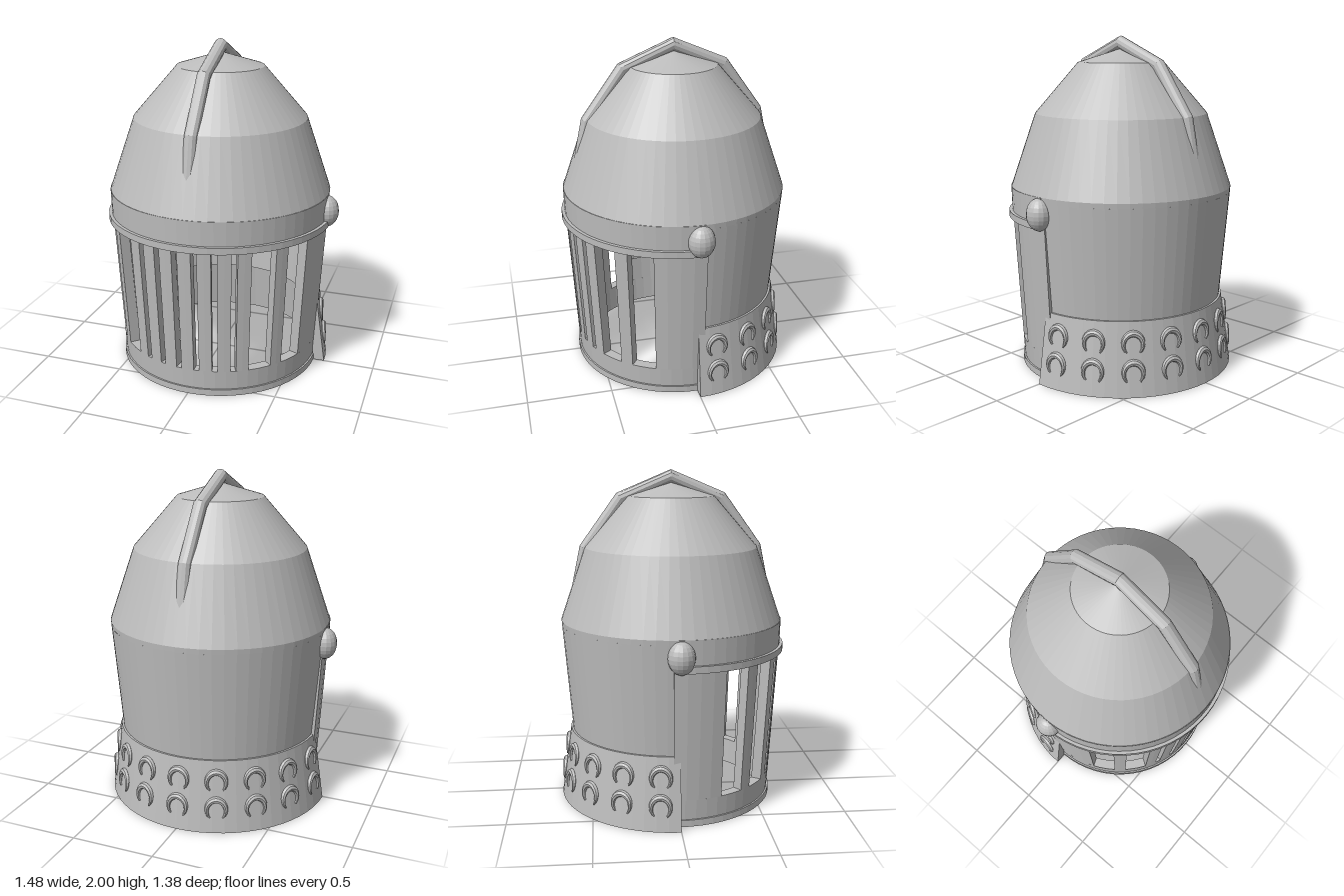
import * as THREE from 'three';
import { mergeGeometries } from 'three/addons/utils/BufferGeometryUtils.js';

const steel = new THREE.MeshStandardMaterial({ color: 0xbcbcbc, flatShading: true });
steel.name = 'steel';
const rad = THREE.MathUtils.degToRad;

function flat(geometry) {
  const g = geometry.index ? geometry.toNonIndexed() : geometry;
  g.computeVertexNormals();
  return g;
}

// Solid wall: closed [radius, y] profile (counter-clockwise) swept from a to b degrees; 0 is the front
function wall(profile, a, b) {
  const pts = profile.map(p => new THREE.Vector2(...p));
  const segments = Math.max(2, Math.round((b - a) / 6));
  const parts = [new THREE.LatheGeometry([...pts, pts[0]], segments, rad(a), rad(b - a))];
  if (b - a < 360) {
    for (const angle of [a, b]) {
      const cap = new THREE.ShapeGeometry(new THREE.Shape(pts)).rotateY(rad(angle - 90));
      if (angle === b) cap.setIndex([...cap.index.array].reverse());
      parts.push(cap);
    }
  }
  return flat(mergeGeometries(parts));
}

// Four-cornered profile from bottom and top radii
const slab = (y0, r0, y1, r1, t) => [[r0, y0], [r1, y1], [r1 - t, y1], [r0 - t, y0]];

// Horseshoe ornament: a torus arc open below, thinning to its ends
function horseshoeGeometry() {
  const R = 0.056, arc = rad(275);
  const g = new THREE.TorusGeometry(R, 0.018, 8, 18, arc);
  const p = g.attributes.position;
  for (let i = 0; i < p.count; i++) {
    const t = (i % 19) / 18, u = t * arc;
    const k = 0.3 + 0.7 * Math.sin(Math.PI * t);
    const cx = R * Math.cos(u), cy = R * Math.sin(u);
    p.setXYZ(i, cx + (p.getX(i) - cx) * k, cy + (p.getY(i) - cy) * k, p.getZ(i) * k);
  }
  g.rotateZ(rad(-47.5)).scale(1, 1.12, 1.2);
  return flat(g);
}

// Crest: a round section carried along a path over the dome, its ends sunk into the skull
function crestGeometry() {
  const half = [[0.3, 1.832], [0.513, 1.535], [0.562, 1.3]];
  const path = [...half.map(([z, y]) => [-z, y]).reverse(), [0, 1.96], ...half];
  const n = 12, pos = [], idx = [];
  path.forEach(([z, y], i) => {
    const a = path[Math.max(0, i - 1)], b = path[Math.min(path.length - 1, i + 1)];
    const d = new THREE.Vector2(b[0] - a[0], b[1] - a[1]).normalize();
    for (let j = 0; j < n; j++) {
      const u = j / n * Math.PI * 2;
      const h = 0.04 * Math.sin(u);
      pos.push(0.04 * Math.cos(u), y + d.x * h, z - d.y * h);
      if (i < path.length - 1) {
        const p = i * n + j, q = i * n + (j + 1) % n;
        idx.push(p, q, p + n, q, q + n, p + n);
      }
    }
  });
  const g = new THREE.BufferGeometry();
  g.setAttribute('position', new THREE.Float32BufferAttribute(pos, 3));
  g.setIndex(idx);
  return flat(g);
}

export function createModel() {
  const model = new THREE.Group();
  model.name = 'helmet';
  const add = (name, geometry, parent = model) => {
    const mesh = new THREE.Mesh(geometry, steel);
    mesh.name = name;
    parent.add(mesh);
    return mesh;
  };

  // Skull: faceted dome with an inner lining
  add('dome', wall([
    [0.667, 1.07], [0.67, 1.11], [0.52, 1.545], [0.26, 1.845], [0, 1.925],
    [0, 1.865], [0.23, 1.79], [0.47, 1.515], [0.61, 1.1], [0.61, 1.07],
  ], 0, 360));
  add('crest', crestGeometry());
  add('backShell', wall(slab(0.33, 0.607, 1.08, 0.668, 0.055), 73, 287));

  // Visor: brow, side plates, bars, chin
  const visor = new THREE.Group();
  visor.name = 'visor';
  model.add(visor);
  const radius = y => 0.61 + 0.058 * y;
  const piece = (y0, y1) => slab(y0, radius(y0), y1, radius(y1), 0.06);
  add('brow', wall(slab(0.93, 0.668, 1.11, 0.673, 0.06), -92, 92), visor);
  add('browTrim', wall(slab(0.925, 0.688, 0.965, 0.688, 0.06), -90, 90), visor);
  add('chin', wall(piece(0, 0.16), -93.5, 93.5), visor);
  add('chinTrim', wall(slab(0, 0.622, 0.04, 0.622, 0.03), -90, 90), visor);

  // Bars stand close together in front, with wide slots towards the sides
  for (const a of [-50, -30, -20, -10, 0, 10, 20, 30, 50]) {
    add('bar', wall(piece(0.16, 0.94), a - 3.5, a + 3.5), visor);
  }
  add('leftSidePlate', wall(piece(0.16, 0.94), 67, 93.5), visor);
  add('rightSidePlate', wall(piece(0.16, 0.94), -93.5, -67), visor);

  // Flared neck guard with two rows of horseshoes
  const guard = new THREE.Group();
  guard.name = 'neckGuard';
  model.add(guard);
  add('guardPlate', wall([[0.69, 0], [0.627, 0.43], [0.575, 0.43], [0.622, 0]], 90, 270), guard);
  const horseshoe = horseshoeGeometry();
  for (const y of [0.3, 0.137]) {
    for (let a = 100; a <= 260; a += 20) {
      const r = 0.69 - 0.1465 * y;
      const mesh = add('horseshoe', horseshoe, guard);
      mesh.position.set(r * Math.sin(rad(a)), y, r * Math.cos(rad(a)));
      mesh.rotation.set(-0.146, rad(a), 0, 'YXZ');
    }
  }

  // Pivot knobs
  for (const side of [1, -1]) {
    const knob = add(side > 0 ? 'leftPivot' : 'rightPivot',
      flat(new THREE.SphereGeometry(1, 16, 12).scale(0.072, 0.095, 0.077)));
    knob.position.set(side * 0.666, 1.01, 0);
  }
  return model;
}
